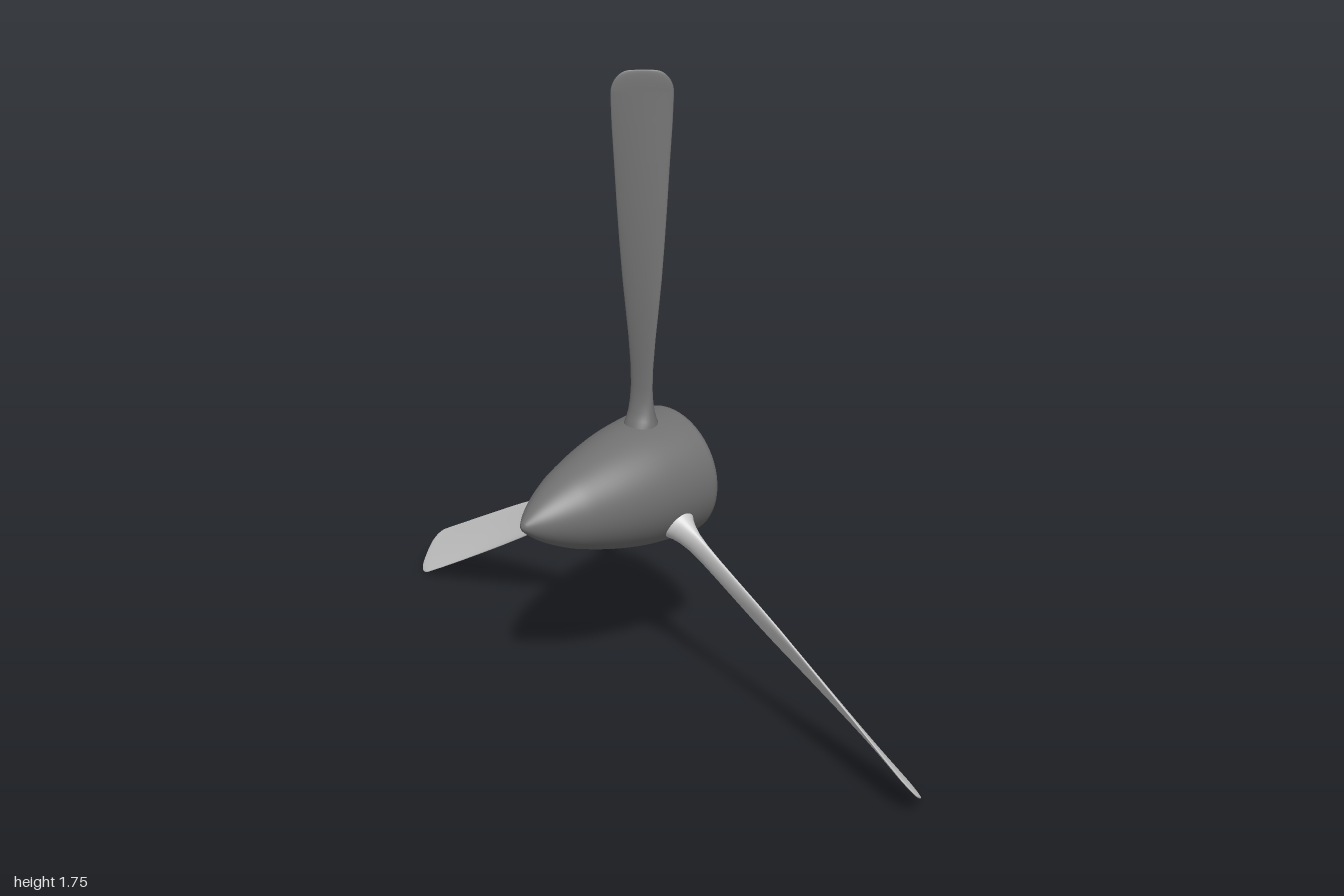
import * as THREE from 'three';

const HUB_X = -0.006, HUB_Y = 0.615, BLADE_Z = -0.163;
const grey = new THREE.MeshStandardMaterial({ color: 0xcccccc });
const darkGrey = new THREE.MeshStandardMaterial({ color: 0x707070 });

// Turn a [radius, z] profile around the shaft (z axis)
function lathe(name, profile) {
  const pts = profile.map(([r, z]) => new THREE.Vector2(r, z));
  const mesh = new THREE.Mesh(new THREE.LatheGeometry(pts, 64).rotateX(Math.PI / 2), darkGrey);
  mesh.name = name;
  return mesh;
}

// Blade stations: distance from shaft, half chord, half thickness, pitch in degrees
const stations = [
  [0.14, 0.056, 0.056, 10], [0.175, 0.048, 0.046, 10], [0.19, 0.044, 0.036, 10],
  [0.21, 0.040, 0.027, 10], [0.24, 0.037, 0.018, 10], [0.28, 0.035, 0.012, 10],
  [0.34, 0.036, 0.010, 13], [0.42, 0.041, 0.009, 18], [0.50, 0.048, 0.009, 23],
  [0.585, 0.055, 0.009, 28], [0.68, 0.061, 0.008, 33], [0.785, 0.067, 0.008, 38],
  [0.90, 0.073, 0.007, 42], [1.00, 0.079, 0.006, 46], [1.08, 0.082, 0.005, 48],
];
// Rounded tip
for (let k = 1; k <= 10; k++) {
  const a = (k / 10) * Math.PI / 2;
  stations.push([1.08 + 0.06 * Math.sin(a), 0.03 + 0.052 * Math.cos(a), 0.002 + 0.003 * Math.cos(a), 48]);
}
stations.push([1.141, 0.0001, 0.0001, 48]);

// Loft elliptical sections along +y, twisting with the pitch
function bladeGeometry() {
  const n = 32, pos = [], index = [];
  stations.forEach(([r, chord, thick, pitch], i) => {
    const p = THREE.MathUtils.degToRad(pitch);
    const sweep = THREE.MathUtils.smoothstep(r, 0.2, 1.1);
    for (let j = 0; j < n; j++) {
      const t = (j / n) * Math.PI * 2;
      const u = chord * Math.cos(t), v = thick * Math.sin(t);
      pos.push(
        u * Math.cos(p) - v * Math.sin(p) - 0.012 * sweep,
        r,
        -(u * Math.sin(p) + v * Math.cos(p)) - 0.004 * sweep
      );
      if (i < stations.length - 1) {
        const a = i * n + j, b = i * n + (j + 1) % n;
        index.push(a, b, a + n, b, b + n, a + n);
      }
    }
  });
  const g = new THREE.BufferGeometry();
  g.setAttribute('position', new THREE.Float32BufferAttribute(pos, 3));
  g.setIndex(index);
  g.computeVertexNormals();
  return g;
}

export function createModel() {
  const group = new THREE.Group();
  group.name = 'propeller';

  // Pointed spinner, its curve smoothed through a few profile points
  const curve = new THREE.SplineCurve([
    [0.187, -0.268], [0.183, -0.2], [0.171, -0.1], [0.148, 0], [0.116, 0.1],
    [0.095, 0.15], [0.069, 0.2], [0.043, 0.24], [0.018, 0.27], [0.008, 0.278], [0, 0.281],
  ].map(([r, z]) => new THREE.Vector2(r, z)));
  const nose = curve.getPoints(50).map(p => [Math.max(p.x, 0), p.y]);
  const spinner = lathe('spinner', [[0.174, -0.281], [0.18, -0.28], [0.185, -0.276], ...nose]);

  // Flat disc closing the rear
  const backPlate = lathe('backPlate', [[0, -0.281], [0.174, -0.281]]);

  for (const part of [spinner, backPlate]) {
    part.position.set(HUB_X, HUB_Y, 0);
    group.add(part);
  }

  // Three twisted blades around the shaft, the top one dark like the spinner
  const geometry = bladeGeometry();
  [['topBlade', darkGrey], ['rightBlade', grey], ['leftBlade', grey]].forEach(([name, material], k) => {
    const blade = new THREE.Mesh(geometry, material);
    blade.name = name;
    blade.position.set(HUB_X, HUB_Y, BLADE_Z);
    blade.rotation.z = (k * Math.PI * 2) / 3;
    group.add(blade);
  });

  return group;
}
